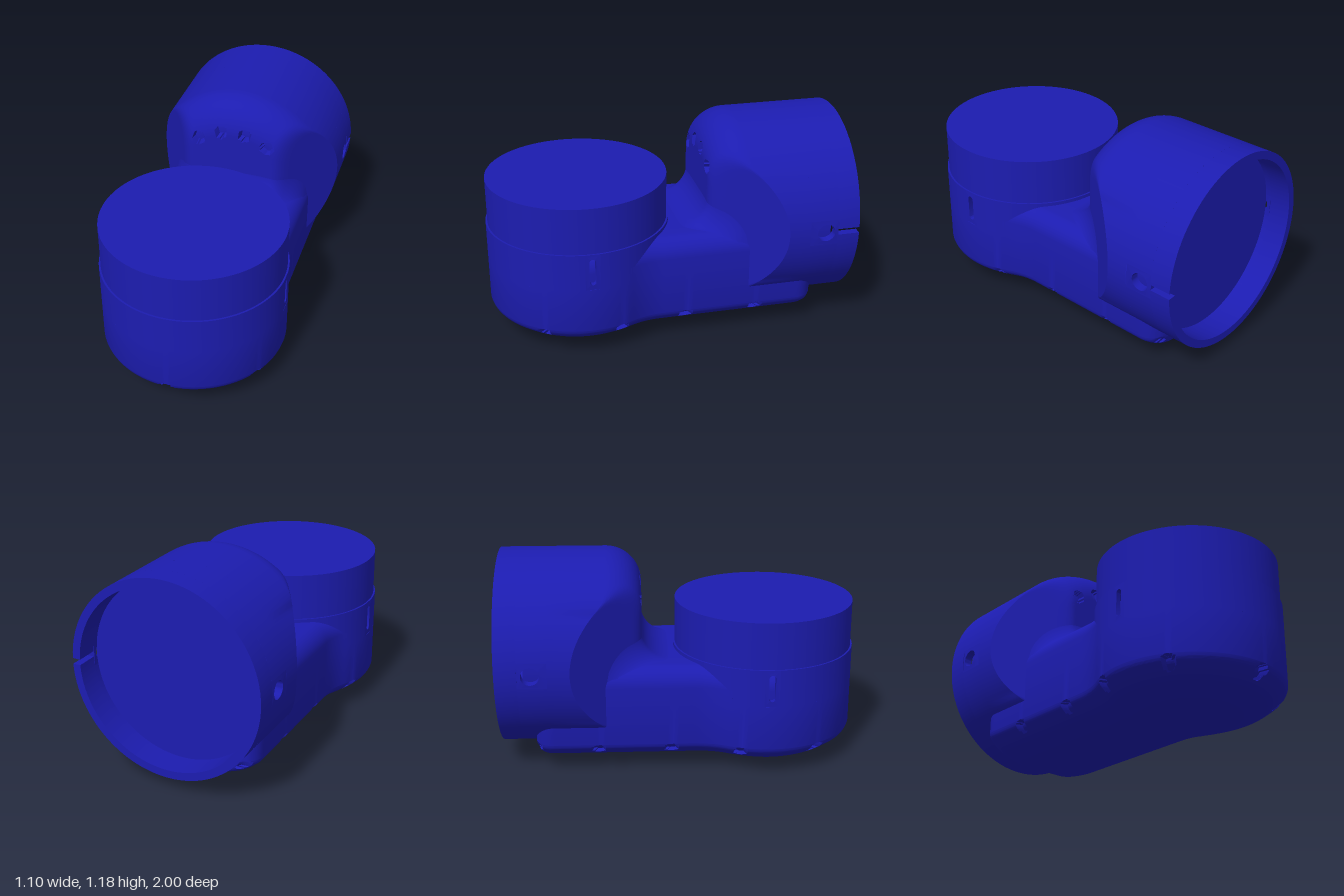
import * as THREE from 'three';
import { toCreasedNormals } from 'three/addons/utils/BufferGeometryUtils.js';

const material = new THREE.MeshStandardMaterial({ color: 0x1c1cb0, side: THREE.DoubleSide });

function part(parent, name, geometry) {
  const mesh = new THREE.Mesh(geometry, material);
  mesh.name = name;
  parent.add(mesh);
  return mesh;
}

// Surface from a rule: at(i, j) gives the point of column i, row j
function surface(columns, rows, at) {
  const positions = [], index = [];
  for (let j = 0; j <= rows; j++) for (let i = 0; i <= columns; i++) positions.push(...at(i, j));
  for (let j = 0; j < rows; j++) for (let i = 0; i < columns; i++) {
    const a = j * (columns + 1) + i, d = a + columns + 1;
    index.push(a, a + 1, d + 1, a, d + 1, d);
  }
  const geometry = new THREE.BufferGeometry();
  geometry.setAttribute('position', new THREE.Float32BufferAttribute(positions, 3));
  geometry.setIndex(index);
  return toCreasedNormals(geometry, 0.6);
}

// Curved wall around the z axis, between two angles
function sector(r, thick, a0, a1, z0, z1) {
  const shape = new THREE.Shape();
  shape.absarc(0, 0, r, a0, a1, false);
  shape.absarc(0, 0, r - thick, a1, a0, true);
  const g = new THREE.ExtrudeGeometry(shape, { depth: z1 - z0, bevelEnabled: false, curveSegments: 48 });
  return toCreasedNormals(g.translate(0, 0, z0), 0.5);
}

// Small flat panel with a hole, bent onto the same cylinder
function holedPanel(r, thick, halfAngle, z0, z1, hole) {
  const s = r * halfAngle;
  const shape = new THREE.Shape();
  shape.moveTo(-s, z0).lineTo(s, z0).lineTo(s, z1).lineTo(-s, z1).closePath();
  shape.holes.push(hole);
  const g = new THREE.ExtrudeGeometry(shape, { depth: thick, bevelEnabled: false, curveSegments: 16 });
  const p = g.attributes.position;
  for (let i = 0; i < p.count; i++) {
    const a = p.getX(i) / r, rad = r - thick + p.getZ(i);
    p.setXYZ(i, rad * Math.cos(a), rad * Math.sin(a), p.getY(i));
  }
  return toCreasedNormals(g, 0.5);
}

// Tube wall with one hole on each side
function pierced(parent, name, r, thick, half, z0, z1, hole) {
  for (const turn of [0, Math.PI]) {
    part(parent, name, sector(r, thick, half, Math.PI - half, z0, z1)).rotation.z = turn;
    part(parent, name + 'HolePanel', holedPanel(r, thick, half, z0, z1, hole)).rotation.z = turn;
  }
}

const AXIS_Y = 0.63, BARREL_R = 0.55;

// Front of the barrel: rounded end cut back by two side chamfers
function barrelFront(x, y) {
  const over = THREE.MathUtils.clamp(Math.hypot(x, y) - 0.35, 0, 0.2);
  const round = -0.415 + Math.sqrt(Math.max(0, 0.04 - over * over));
  const chamfer = -0.22 - (Math.abs(x) - 0.28) * 1.407;
  const k = 0.06, h = Math.max(k - Math.abs(round - chamfer), 0) / k;
  return Math.min(round, chamfer) - h * h * k / 4;
}

function barrelShell() {
  const vents = [[0.205, 0.31], [0.07, 0.37]];
  const columns = 200, rows = 64;
  return surface(columns, rows, (i, j) => {
    const a = i / columns * Math.PI * 2;
    const r = j === 0 ? BARREL_R : BARREL_R * Math.sin((rows - j) / (rows - 1) * Math.PI / 2);
    const x = r * Math.cos(a), y = r * Math.sin(a);
    let z = j === 0 ? -0.72 : barrelFront(x, y);
    if (vents.some(([vx, vy]) => Math.hypot(Math.abs(x) - vx, y - vy) < 0.034)) z -= 0.04;
    return [x, y, z];
  });
}

// Plan outline of the base: round front, filleted waist, straight neck
function baseOutline(divisions) {
  const p = new THREE.Path(), H = Math.PI / 2;
  p.moveTo(0, 0.995);
  p.absarc(0, 0.48, 0.515, H, -0.46, true);
  p.absarc(0.82, 0.074, 0.4, Math.PI - 0.46, Math.PI, false);
  p.lineTo(0.42, -0.71);
  p.absarc(0.32, -0.71, 0.1, 0, -H, true);
  p.lineTo(-0.32, -0.81);
  p.absarc(-0.32, -0.71, 0.1, -H, -Math.PI, true);
  p.lineTo(-0.42, 0.074);
  p.absarc(-0.82, 0.074, 0.4, 0, 0.46, false);
  p.absarc(0, 0.48, 0.515, Math.PI + 0.46, H, true);
  return p.getSpacedPoints(divisions);
}

// Base: the outline shrinks to a spine at the domed bottom and rounded top
function base() {
  const columns = 320;
  const outline = baseOutline(columns);
  const V = (x, y) => new THREE.Vector2(x, y);
  const profile = [
    ...new THREE.SplineCurve([V(0, 0), V(0.3, 0.005), V(0.5, 0.02), V(0.78, 0.07),
      V(0.93, 0.12), V(0.98, 0.145), V(1, 0.17)]).getPoints(36),
    V(1, 0.42), V(1, 0.43),
    ...new THREE.EllipseCurve(0.76, 0.5, 0.24, 0.11, 0, Math.PI / 2).getPoints(10),
    V(0, 0.61),
  ];
  const notches = [[0, 0.995], [0.44, 0.75], [0.49, 0.32], [0.42, -0.06], [0.42, -0.46], [0.36, -0.8]];
  return surface(columns, profile.length - 1, (i, j) => {
    const o = outline[i];
    let { x: t, y } = profile[j];
    const spine = THREE.MathUtils.clamp(o.y, -0.72, 0.48);
    // screw notches just under the seam
    if (notches.some(([nx, nz]) => Math.hypot(Math.abs(o.x) - nx, o.y - nz, y - 0.135) < 0.034)) t -= 0.09;
    // room behind the sleeve
    if (y > 0.425 && o.y > 0.27) t *= 0.94;
    const z = spine + (o.y - spine) * t;
    if (y < 0.17) y += 0.02 * (1 - THREE.MathUtils.smoothstep(z, 0.15, 0.5)) * (1 - y / 0.17);
    return [o.x * t, y, z];
  });
}

// Concave blend from the neck top up into the barrel face
function neckBlend() {
  return surface(60, 16, (i, j) => {
    const x = -0.42 + 0.84 * i / 60, a = j / 16 * Math.PI / 2;
    const edge = THREE.MathUtils.clamp((Math.abs(x) - 0.32) / 0.1, 0, 1);
    const top = 0.498 + 0.11 * Math.sqrt(1 - edge * edge);
    const r = 0.18 * Math.sqrt(Math.max(0, 1 - (x / 0.42) ** 4));
    return [x, top + r * (1 - Math.cos(a)), barrelFront(x, 0.1) - 0.005 + r * (1 - Math.sin(a))];
  });
}

export function createModel() {
  const model = new THREE.Group();
  model.name = 'elbowHousing';

  part(model, 'base', base());
  part(model, 'neckBlend', neckBlend());

  // Upright sleeve around the front, with a narrow slot on each side
  const sleeve = new THREE.Group();
  sleeve.name = 'sleeve';
  sleeve.rotation.x = -Math.PI / 2;
  sleeve.position.z = 0.48;
  model.add(sleeve);
  const slot = new THREE.Path();
  slot.absarc(0, 0.583, 0.018, 0, Math.PI, false);
  slot.absarc(0, 0.467, 0.018, Math.PI, Math.PI * 2, false);
  slot.closePath();
  pierced(sleeve, 'sleeveWall', 0.515, 0.03, 0.08, 0.42, 0.63, slot);

  // Plug standing in the sleeve
  const plug = part(model, 'plug', new THREE.CylinderGeometry(0.505, 0.505, 0.265, 96));
  plug.position.set(0, 0.7595, 0.48);

  // Horizontal barrel, open at the back
  const barrel = new THREE.Group();
  barrel.name = 'barrel';
  barrel.position.y = AXIS_Y;
  model.add(barrel);
  part(barrel, 'barrelShell', barrelShell());
  const hole = new THREE.Path();
  hole.absarc(0, -0.81, 0.05, 0, Math.PI * 2, false);
  pierced(barrel, 'barrelWall', BARREL_R, 0.045, 0.13, -0.88, -0.72, hole);
  part(barrel, 'slottedRim', sector(BARREL_R, 0.045, 0.03, Math.PI * 2 - 0.03, -1, -0.88));
  const floor = part(barrel, 'barrelFloor', new THREE.CylinderGeometry(0.506, 0.506, 0.15, 96));
  floor.rotation.x = Math.PI / 2;
  floor.position.z = -0.775;

  return model;
}
